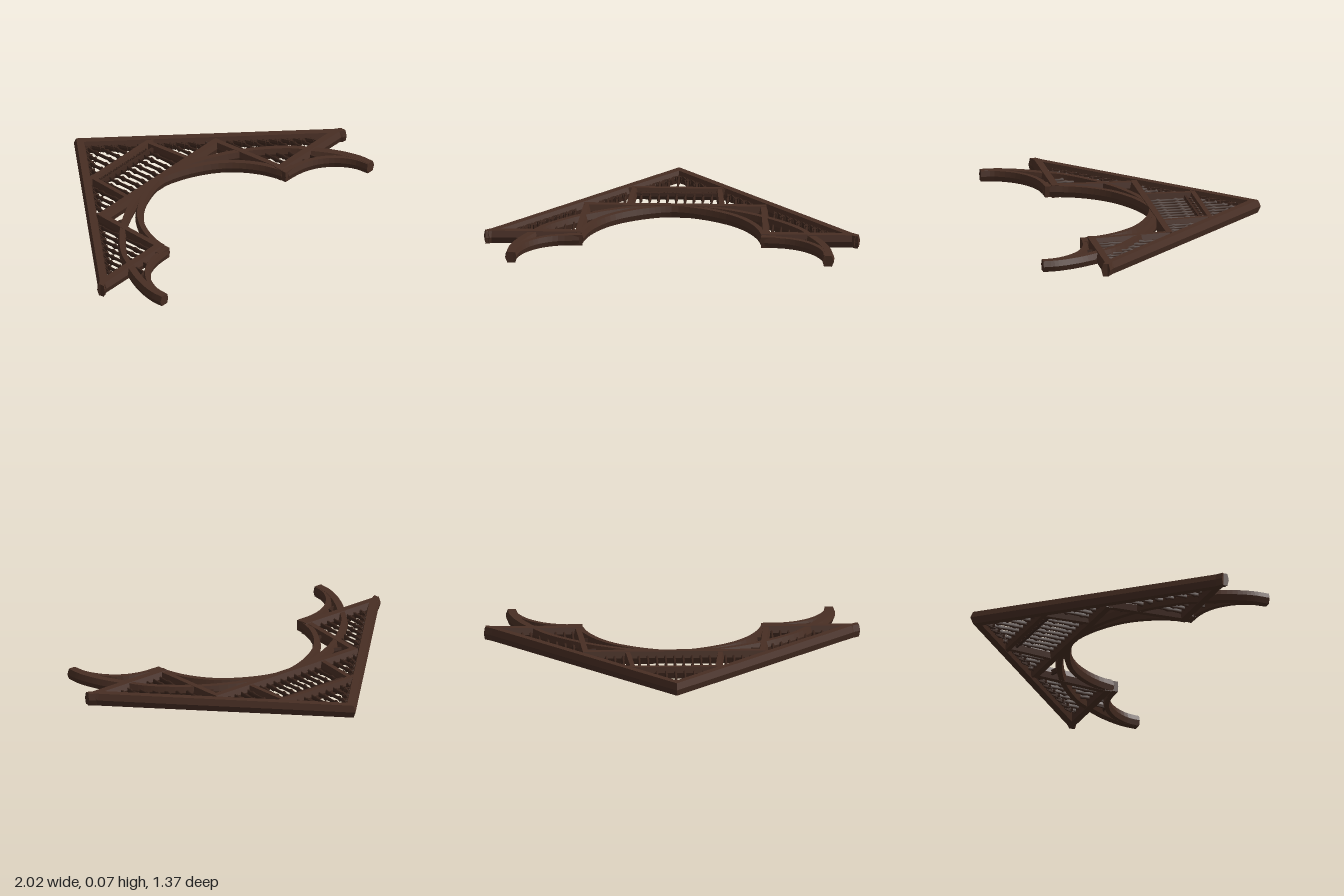
import * as THREE from 'three';

const MID = 0.035; // mid height of the flat-lying truss

export function createModel() {
  const root = new THREE.Group();
  root.name = 'roofTruss';
  const oak = new THREE.MeshStandardMaterial({ color: 0x482e23 });
  oak.name = 'dark oak';
  const shade = new THREE.MeshStandardMaterial({ color: 0x3c261d });
  shade.name = 'deep oak';

  const add = (name, geo, mat, parent = root) => {
    const m = new THREE.Mesh(geo, mat);
    m.name = name;
    parent.add(m);
    return m;
  };

  // Ridged (six-sided) timber swept along points [x, z, halfWidth?]
  function timber(name, pts, w, h = 0.035, { cut = false, mat = oak, flat = 0.62, parent = root } = {}) {
    const pos = [], idx = [], n = pts.length;
    const section = [[1, 0], [flat, 1], [-flat, 1], [-1, 0], [-flat, -1], [flat, -1]];
    pts.forEach((p, i) => {
      const a = pts[Math.max(i - 1, 0)], b = pts[Math.min(i + 1, n - 1)];
      const len = Math.hypot(b[0] - a[0], b[1] - a[1]);
      let nx = (b[1] - a[1]) / len, nz = -(b[0] - a[0]) / len;
      if (cut && (i === 0 || i === n - 1)) { nx = 0; nz = 1 / nz; } // plumb cut
      const hw = p[2] ?? w;
      for (const [u, v] of section) pos.push(p[0] + nx * u * hw, MID + v * h, p[1] + nz * u * hw);
    });
    for (let i = 0; i < n - 1; i++) {
      for (let j = 0; j < 6; j++) {
        const a = i * 6 + j, b = i * 6 + (j + 1) % 6;
        idx.push(a, b, b + 6, a, b + 6, a + 6);
      }
    }
    const e = (n - 1) * 6;
    for (let j = 1; j < 5; j++) idx.push(0, j + 1, j, e, e + j, e + j + 1);
    const g = new THREE.BufferGeometry();
    g.setAttribute('position', new THREE.Float32BufferAttribute(pos, 3));
    g.setIndex(idx);
    const faceted = g.toNonIndexed();
    faceted.computeVertexNormals();
    return add(name, faceted, mat, parent);
  }

  // Smooth path through a few points
  const curve = (pts, count = 14) =>
    new THREE.CatmullRomCurve3(pts.map(([x, z]) => new THREE.Vector3(x, 0, z)))
      .getPoints(count).map(v => [v.x, v.z]);

  // Turned baluster between two z positions, deeper than it is wide
  function baluster(x, z0, z1, parent) {
    const L = z1 - z0;
    if (L < 0.03) return;
    const profile = [[0, 0], [0.008, 0], [0.006, 0.1], [0.0055, 0.3], [0.0095, 0.36], [0.0055, 0.42],
      [0.006, 0.7], [0.009, 0.76], [0.006, 0.82], [0.008, 1], [0, 1]]
      .map(([r, t]) => new THREE.Vector2(r, t * L));
    const m = add('baluster', new THREE.LatheGeometry(profile, 8), shade, parent);
    m.rotation.x = Math.PI / 2;
    m.scale.z = 2.0;
    m.position.set(x, MID, z0);
  }

  // Little pointed arch head with cusps between two neighbouring balusters
  function archHead(xa, xb, za, zb, parent) {
    const xm = (xa + xb) / 2, zm = (za + zb) / 2;
    const d = 0.045;
    for (const [x, z] of [[xa, za], [xb, zb]]) {
      const q = (xm - x) * 0.3;
      timber('archHead', curve([[x, z + d], [x + q, z + d * 0.45], [xm, zm]], 4), 0.005, 0.014,
        { mat: shade, parent });
      timber('cusp', [[x + q, z + d * 0.5], [x + q * 2.2, z + d * 0.75, 0.003]], 0.005, 0.012,
        { mat: shade, parent });
    }
  }

  // Row of balusters and arch heads; top and bottom are functions of x
  function screen(name, xs, top, bottom) {
    const g = new THREE.Group();
    g.name = name;
    root.add(g);
    xs.forEach((x, i) => {
      baluster(x, top(x), bottom(x), g);
      if (i && bottom(x) - top(x) > 0.06) archHead(xs[i - 1], x, top(xs[i - 1]), top(x), g);
    });
  }
  const row = (a, b, n) => Array.from({ length: n }, (_, i) => a + (b - a) * i / (n - 1));
  const underRafter = x => -0.61 + 1.025 * Math.abs(x);

  // Horizontal beams
  timber('collarBeam', [[-0.49, -0.087], [0.49, -0.087]], 0.027);
  timber('upperCollar', [[-0.27, -0.36], [0.27, -0.36]], 0.02, 0.033);
  timber('screenRail', [[-0.23, -0.315], [0.23, -0.315]], 0.01, 0.018, { mat: shade });

  for (const s of [-1, 1]) {
    const side = pts => pts.map(([x, z, ...r]) => [s * x, z, ...r]);

    // Main straight timbers
    timber('rafter', side([[0, -0.643], [0.95, 0.331], [1, 0.365, 0.018]]), 0.03, 0.035, { cut: true });
    timber('hammerBeam', side([[0.48, 0.343], [0.97, 0.343], [0.995, 0.362, 0.026]]), 0.03);
    timber('hammerPost', side([[0.505, 0.34], [0.475, -0.09]]), 0.024, 0.033);
    timber('queenPost', side([[0.25, -0.09], [0.228, -0.36]]), 0.02, 0.032);
    timber('hammerEnd', side([[0.48, 0.383], [0.56, 0.385]]), 0.018, 0.03, { flat: 0.9 });

    // Curved braces
    timber('mainArch', side(curve([[0.497, 0.37], [0.468, 0.26], [0.41, 0.15], [0.325, 0.055],
      [0.2, -0.025], [0.09, -0.068], [0, -0.087]], 20)), 0.023, 0.031, { cut: false });
    timber('longBrace', side(curve([[0.74, 0.34], [0.69, 0.26], [0.61, 0.175], [0.5, 0.085],
      [0.38, 0.012], [0.25, -0.045], [0.1, -0.085]], 18)), 0.022, 0.032);
    timber('wallPost', side(curve([[0.853, 0.68], [0.851, 0.61], [0.835, 0.54], [0.8, 0.45],
      [0.74, 0.34]], 14)), 0.031, 0.03);
    timber('lowerArch', side(curve([[0.842, 0.68], [0.832, 0.6], [0.785, 0.51], [0.71, 0.44],
      [0.62, 0.4], [0.5, 0.385]], 16)), 0.02, 0.029);

    // Small spandrel ties
    timber('spandrelTie', side([[0.72, 0.37], [0.73, 0.44]]), 0.007, 0.015, { mat: shade });
    timber('spandrelTie', side([[0.79, 0.45], [0.72, 0.43]]), 0.007, 0.015, { mat: shade });
    timber('spandrelTie', side([[0.66, 0.37], [0.66, 0.41]]), 0.006, 0.015, { mat: shade });
    timber('spandrelTie', side([[0.49, 0.19], [0.44, 0.19]]), 0.007, 0.015, { mat: shade });
    timber('spandrelTie', side([[0.47, 0.0], [0.4, 0.02]]), 0.007, 0.015, { mat: shade });

    // Side screens under the rafter
    screen('upperSideScreen', row(0.275, 0.455, 5).map(x => s * x), underRafter, () => -0.1);
    screen('lowerSideScreen', row(0.535, 0.85, 8).map(x => s * x), underRafter, () => 0.33);
  }

  // Centre screens
  screen('gableScreen', row(-0.2, 0.2, 9), underRafter, () => -0.37);
  screen('centreScreen', row(-0.19, 0.19, 9), () => -0.345, () => -0.1);

  return root;
}
